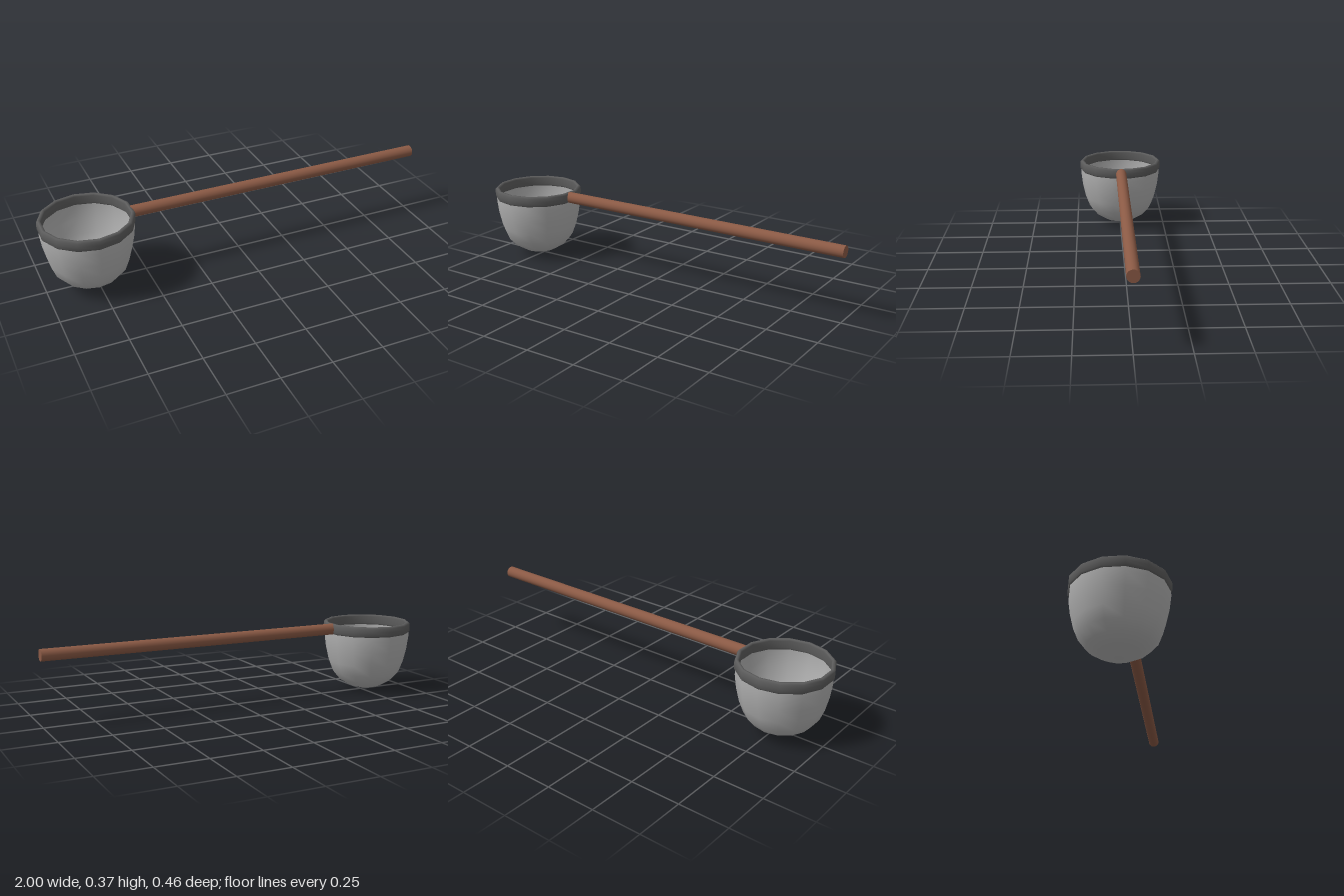
import * as THREE from 'three';

const SIDES = 14;
const CUP_X = -0.775;

function lathe(name, profile, color) {
  const points = profile.map(([r, y]) => new THREE.Vector2(r, y));
  const material = new THREE.MeshStandardMaterial({ color, side: THREE.DoubleSide });
  const mesh = new THREE.Mesh(new THREE.LatheGeometry(points, SIDES), material);
  mesh.name = name;
  mesh.position.x = CUP_X;
  return mesh;
}

export function createModel() {
  const group = new THREE.Group();
  group.name = 'ladle';

  // Thin open cup
  group.add(lathe('cup', [
    [0, 0], [0.088, 0.025], [0.142, 0.058], [0.178, 0.1],
    [0.2, 0.158], [0.216, 0.228], [0.2245, 0.295], [0.222, 0.345],
  ], 0xb0b0b0));

  // Bevelled band around the mouth
  group.add(lathe('rim', [
    [0.212, 0.317], [0.223, 0.317], [0.229, 0.325], [0.23, 0.344], [0.229, 0.363],
    [0.222, 0.371], [0.213, 0.371], [0.208, 0.363], [0.208, 0.325], [0.212, 0.317],
  ], 0x5c5c5c));

  // Straight round handle, butted into the rim
  const start = -0.56, end = 1;
  const handle = new THREE.Mesh(
    new THREE.CylinderGeometry(0.029, 0.029, end - start, 20),
    new THREE.MeshStandardMaterial({ color: 0x8b5a45 })
  );
  handle.name = 'handle';
  handle.rotation.z = -Math.PI / 2;
  handle.position.set((start + end) / 2, 0.343, 0);
  group.add(handle);

  return group;
}
